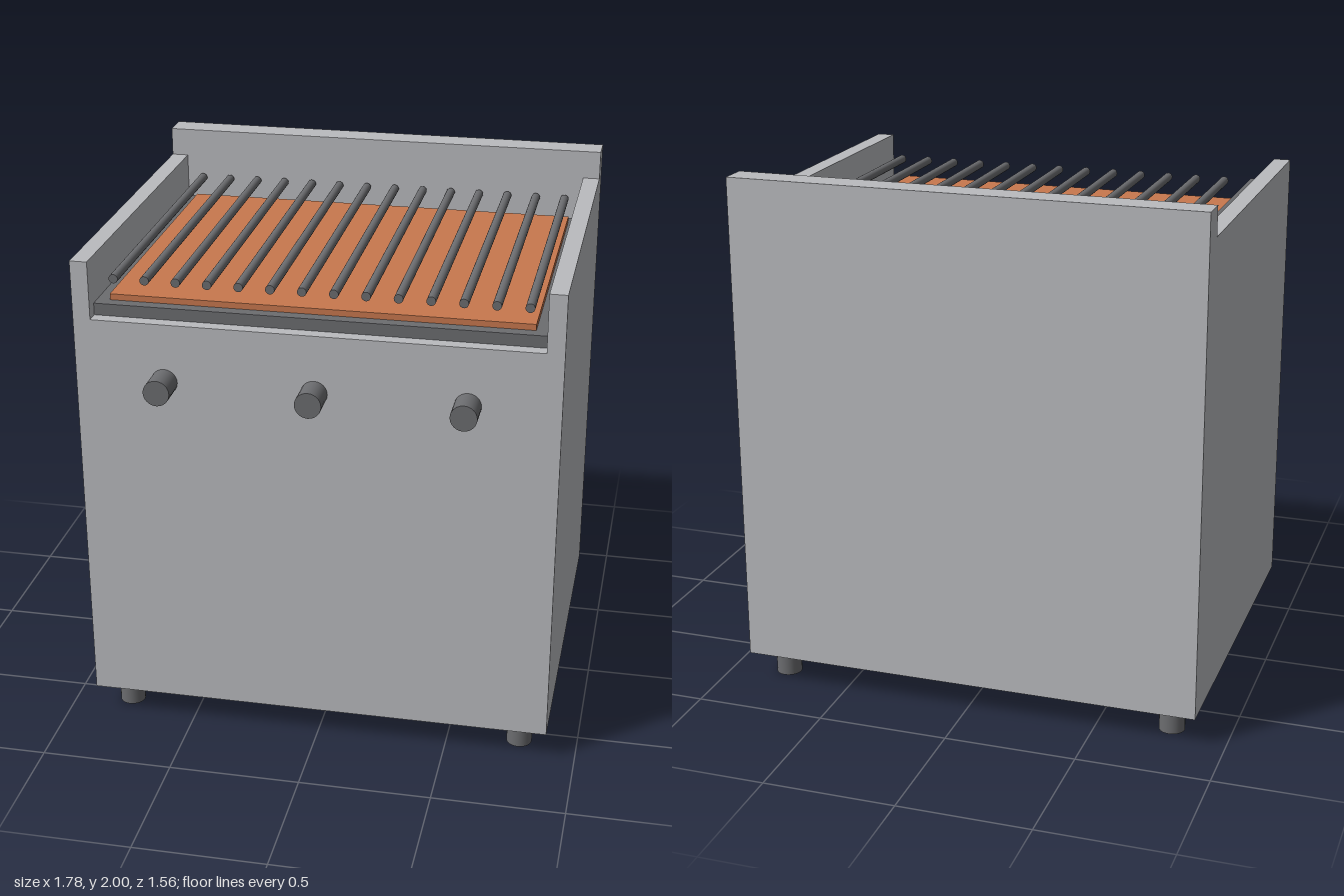
import * as THREE from 'three';

const steel = new THREE.MeshStandardMaterial({ color: 0xbabbbf });
steel.name = 'brushed steel';
const iron = new THREE.MeshStandardMaterial({ color: 0x6c6d70 });
iron.name = 'dark iron';
const ember = new THREE.MeshStandardMaterial({ color: 0xc8784e });
ember.name = 'ember orange';

export function createModel() {
  const grill = new THREE.Group();
  grill.name = 'grill';

  const add = (name, geometry, material) => {
    const mesh = new THREE.Mesh(geometry, material);
    mesh.name = name;
    grill.add(mesh);
    return mesh;
  };

  // Box given by its lower and upper limits on each axis
  const box = (name, material, [x0, x1], [y0, y1], [z0, z1]) =>
    add(name, new THREE.BoxGeometry(x1 - x0, y1 - y0, z1 - z0), material)
      .position.set((x0 + x1) / 2, (y0 + y1) / 2, (z0 + z1) / 2);

  // Cylinder lying along z
  const rod = (name, radius, x, y, [z0, z1]) => {
    const geometry = new THREE.CylinderGeometry(radius, radius, z1 - z0, 24).rotateX(Math.PI / 2);
    add(name, geometry, iron).position.set(x, y, (z0 + z1) / 2);
  };

  // Cabinet with raised side walls and a taller back panel
  box('cabinet', steel, [-0.89, 0.89], [0.11, 1.67], [-0.78, 0.67]);
  box('backPanel', steel, [-0.89, 0.89], [1.67, 2], [-0.78, -0.67]);
  box('rightWall', steel, [-0.89, -0.825], [1.67, 1.89], [-0.67, 0.67]);
  box('leftWall', steel, [0.825, 0.89], [1.67, 1.89], [-0.67, 0.67]);

  // Tray and heating plate
  box('tray', iron, [-0.825, 0.825], [1.67, 1.715], [-0.67, 0.62]);
  box('heatingPlate', ember, [-0.777, 0.777], [1.715, 1.738], [-0.625, 0.575]);

  // Grate bars
  const barCount = 14;
  for (let i = 0; i < barCount; i++) {
    const x = -0.755 + (1.51 * i) / (barCount - 1);
    rod('grateBar', 0.017, x, 1.804, [-0.65, 0.595]);
  }

  // Control knobs
  for (const x of [-0.556, 0, 0.556]) rod('knob', 0.049, x, 1.448, [0.67, 0.78]);

  // Feet
  for (const x of [-0.778, 0.778]) {
    for (const z of [-0.665, 0.557]) {
      add('foot', new THREE.CylinderGeometry(0.049, 0.049, 0.11, 24), iron).position.set(x, 0.055, z);
    }
  }

  return grill;
}
